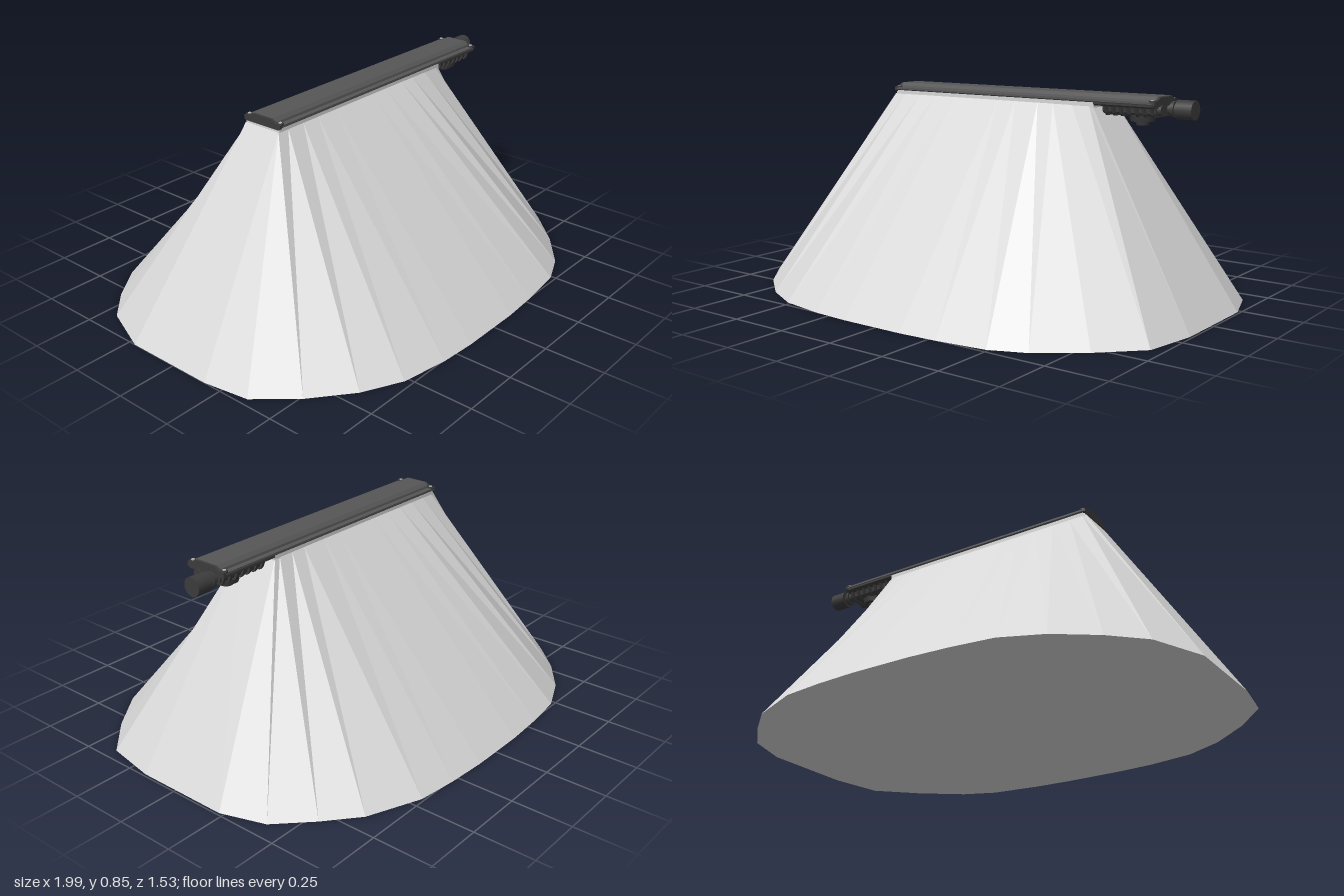
import * as THREE from 'three';

const mat = (name, color, extra = {}) => {
  const m = new THREE.MeshStandardMaterial({ color, ...extra });
  m.name = name;
  return m;
};

export function createModel() {
  const root = new THREE.Group();
  const beamGrey = mat('beam light grey', 0xd8d8d8, { flatShading: true });
  const housingGrey = mat('housing grey', 0x565656);
  const fittingGrey = mat('fitting dark grey', 0x3c3c3c);
  const screwGrey = mat('screw grey', 0xb0b0b0);

  const add = (name, geo, material, x = 0, y = 0, z = 0, parent = root) => {
    const m = new THREE.Mesh(geo, material);
    m.name = name;
    m.position.set(x, y, z);
    parent.add(m);
    return m;
  };
  const box = (name, material, x0, x1, y0, y1, z0, z1) =>
    add(name, new THREE.BoxGeometry(x1 - x0, y1 - y0, z1 - z0), material, (x0 + x1) / 2, (y0 + y1) / 2, (z0 + z1) / 2);
  // Cylinder lying along x
  const rod = (name, material, r, x0, x1, y, z, sides = 24) =>
    add(name, new THREE.CylinderGeometry(r, r, x1 - x0, sides).rotateZ(Math.PI / 2), material, (x0 + x1) / 2, y, z);
  // Cross-section of (z, y) points drawn out along x
  const extrusion = (name, material, pts, x0, x1) => {
    const shape = new THREE.Shape(pts.map(([z, y]) => new THREE.Vector2(-z, y)));
    const geo = new THREE.ExtrudeGeometry(shape, { depth: x1 - x0, bevelEnabled: false });
    return add(name, geo.rotateY(Math.PI / 2), material, x0);
  };
  const mirrored = (half) => [...half, ...half.slice().reverse().map(([z, y]) => [-z, y])];

  // Beam: a faceted skirt from the narrow slot down to a rounded base
  const outline = [
    [-1, -0.22], [-0.91, -0.44], [-0.79, -0.56], [-0.64, -0.67], [-0.48, -0.74], [-0.31, -0.76], [-0.14, -0.77],
    [0.11, -0.77], [0.28, -0.76], [0.45, -0.74], [0.67, -0.65], [0.8, -0.54], [0.93, -0.41], [0.99, -0.23],
    [0.99, 0.17], [0.95, 0.39], [0.8, 0.54], [0.63, 0.67], [0.49, 0.73], [0.28, 0.755], [0.12, 0.765],
    [-0.16, 0.765], [-0.32, 0.755], [-0.52, 0.72], [-0.68, 0.64], [-0.84, 0.51], [-0.97, 0.36], [-1, 0.17],
  ];
  const baseY = 0.008, slotY = 0.81;
  const low = outline.map(([x, z]) => [x, baseY, z]);
  const high = outline.map(([x, z]) => [Math.max(-0.49, Math.min(0.51, x * 0.52)), slotY, Math.sign(z) * 0.085]);
  const tris = [];
  low.forEach((b, i) => {
    const j = (i + 1) % low.length;
    tris.push(b, high[i], high[j], b, high[j], low[j]);
    tris.push([0, baseY, 0], b, low[j]);
  });
  const beamGeo = new THREE.BufferGeometry();
  beamGeo.setAttribute('position', new THREE.Float32BufferAttribute(tris.flat(), 3));
  beamGeo.computeVertexNormals();
  add('beam', beamGeo, beamGrey);

  // Diffuser strip in the slot
  box('diffuser', beamGrey, -0.485, 0.515, 0.803, 0.824, -0.086, 0.086);

  // Long housing with a raised, grooved lid
  extrusion('housing', housingGrey, mirrored([
    [0.088, 0.824], [0.092, 0.828], [0.092, 0.836], [0.076, 0.838], [0.074, 0.833], [0.064, 0.833], [0.062, 0.842], [0.048, 0.855],
  ]), -0.48, 0.77);

  // End caps with corner screws
  for (const [x0, x1] of [[-0.49, -0.478], [0.768, 0.78]]) {
    extrusion('endCap', fittingGrey, mirrored([[0.085, 0.818], [0.093, 0.824], [0.093, 0.838], [0.064, 0.843], [0.047, 0.853]]), x0, x1);
  }
  for (const x of [-0.474, 0.764]) for (const z of [-0.08, 0.08]) {
    add('screwSeat', new THREE.CylinderGeometry(0.013, 0.013, 0.008, 16), fittingGrey, x, 0.838, z);
    add('screw', new THREE.CylinderGeometry(0.007, 0.007, 0.004, 12), screwGrey, x, 0.843, z);
  }

  // Driver box under the overhanging end, with cooling ribs
  extrusion('driverBox', fittingGrey, mirrored([[0.05, 0.782], [0.06, 0.79], [0.066, 0.826]]), 0.54, 0.77);
  extrusion('driverFlange', fittingGrey, mirrored([[0.082, 0.812], [0.09, 0.818], [0.09, 0.826]]), 0.515, 0.775);
  for (let i = 0; i < 7; i++) {
    const x = 0.552 + i * 0.033;
    extrusion('coolingRib', fittingGrey, mirrored([[0.056, 0.776], [0.066, 0.786], [0.078, 0.815]]), x, x + 0.012);
  }

  // Mounting knob beneath the driver
  add('knobCollar', new THREE.CylinderGeometry(0.052, 0.046, 0.024, 24), fittingGrey, 0.68, 0.768, 0);
  add('knob', new THREE.CylinderGeometry(0.028, 0.024, 0.016, 12), fittingGrey, 0.68, 0.749, 0);

  // Cable connector and small vent plug on the end
  rod('connectorNeck', fittingGrey, 0.022, 0.775, 0.82, 0.804, -0.036);
  rod('connectorRing', fittingGrey, 0.031, 0.788, 0.802, 0.804, -0.036, 12);
  rod('connector', fittingGrey, 0.037, 0.812, 0.882, 0.804, -0.036);
  rod('ventPlug', fittingGrey, 0.02, 0.765, 0.786, 0.804, 0.036, 12);

  return root;
}
